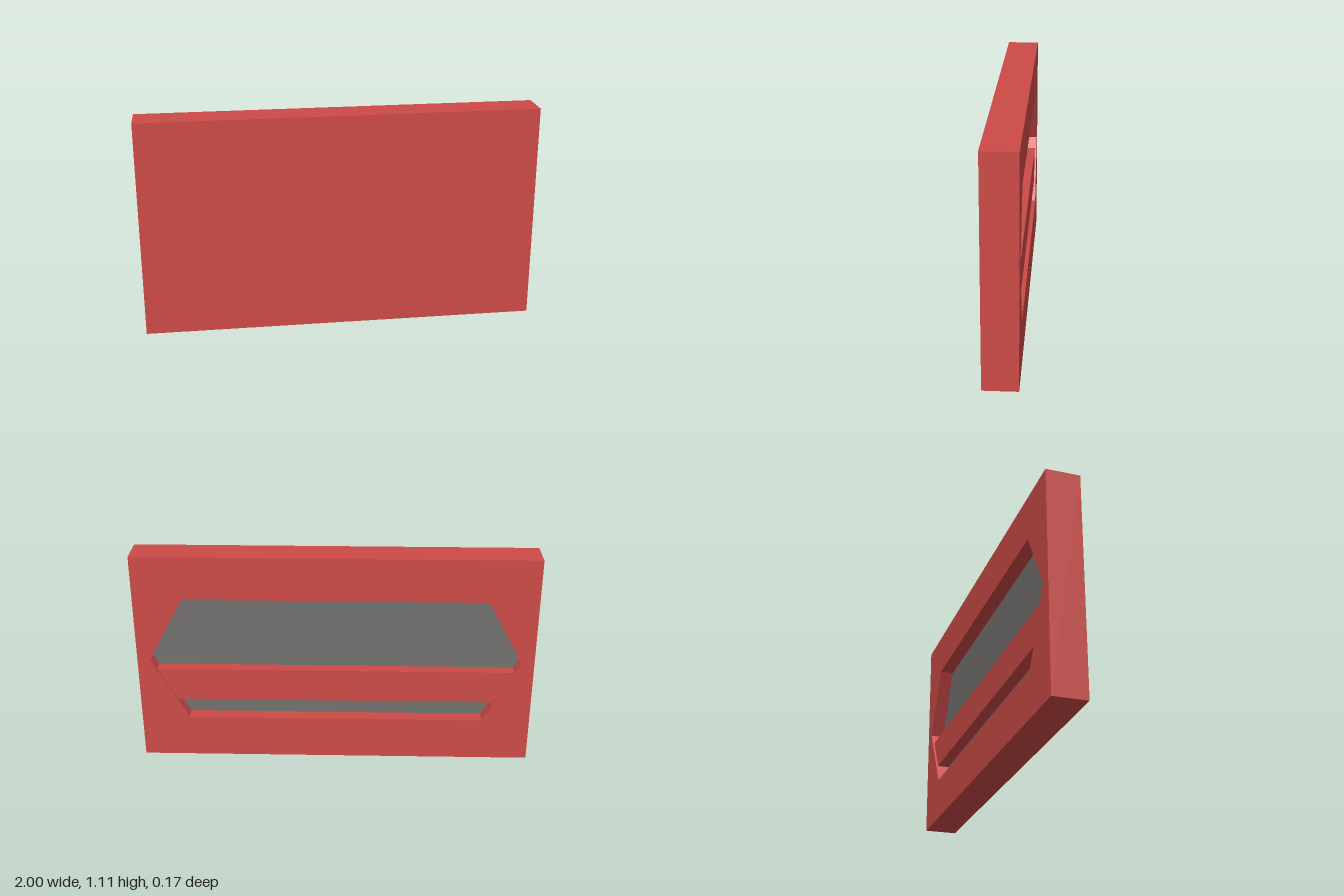
import * as THREE from 'three';

const W = 2, H = 1.112, D = 0.168;          // outer slab
const RECESS = 0.071, BAR_INSET = 0.01;     // depths measured in from the rear face
const MID = H / 2, HALF = 0.333;            // hexagon centre height and half height
const X_FLAT = 0.755, X_TIP = 0.937;        // hexagon half widths

// Half width of the hexagon at a given height
const halfWidth = (y) => X_TIP - (X_TIP - X_FLAT) * Math.abs(y - MID) / HALF;

const toShape = (points) => new THREE.Shape(points.map(([x, y]) => new THREE.Vector2(x, y)));

// Counter-clockwise outline between two heights, with tips where it crosses the middle
function hexBand(y0, y1) {
  const a = halfWidth(y0), b = halfWidth(y1);
  const crosses = y0 < MID && y1 > MID;
  return [
    [-a, y0], [a, y0], ...(crosses ? [[X_TIP, MID]] : []),
    [b, y1], [-b, y1], ...(crosses ? [[-X_TIP, MID]] : []),
  ];
}

// Inward-facing walls along an outline
function wallGeometry(points, zOuter, zInner) {
  const pos = [];
  points.forEach(([x0, y0], i) => {
    const [x1, y1] = points[(i + 1) % points.length];
    const a = [x0, y0, zOuter], b = [x1, y1, zOuter], c = [x1, y1, zInner], d = [x0, y0, zInner];
    pos.push(...a, ...b, ...c, ...a, ...c, ...d);
  });
  const g = new THREE.BufferGeometry();
  g.setAttribute('position', new THREE.Float32BufferAttribute(pos, 3));
  g.computeVertexNormals();
  return g;
}

export function createModel() {
  const red = new THREE.MeshStandardMaterial({ color: 0xcc4a46 });
  red.name = 'red';
  const grey = new THREE.MeshStandardMaterial({ color: 0x72716f });
  grey.name = 'grey';

  // Built with the recess facing +z, then turned round to the back
  const panel = new THREE.Group();
  panel.name = 'panel';
  panel.rotation.y = Math.PI;
  const add = (name, geometry, material, z = 0) => {
    const mesh = new THREE.Mesh(geometry, material);
    mesh.name = name;
    mesh.position.z = z;
    panel.add(mesh);
  };

  const zRear = D / 2, zFloor = zRear - RECESS;
  const hex = hexBand(MID - HALF, MID + HALF);

  // Slab: a box left open on its recessed side
  const slab = new THREE.BoxGeometry(W, H, D).translate(0, MID, 0);
  const index = Array.from(slab.index.array);
  index.splice(24, 6);
  slab.setIndex(index);
  slab.clearGroups();
  add('slab', slab, red);

  // Rear face with the hexagonal opening
  const rear = toShape([[-W / 2, 0], [W / 2, 0], [W / 2, H], [-W / 2, H]]);
  rear.holes.push(toShape(hex));
  add('rearFace', new THREE.ShapeGeometry(rear), red, zRear);

  // Recess walls and floor
  add('recessWalls', wallGeometry(hex, zRear, zFloor), red);
  add('recessFloor', new THREE.ShapeGeometry(toShape(hex)), grey, zFloor);

  // Cross bar, slightly below the rear face and fitted to the slanted walls
  const bar = new THREE.ExtrudeGeometry(toShape(hexBand(0.326, 0.498)), {
    depth: RECESS - BAR_INSET, bevelEnabled: false,
  });
  add('crossBar', bar, red, zFloor);

  const model = new THREE.Group();
  model.name = 'recessedPanel';
  model.add(panel);
  return model;
}
